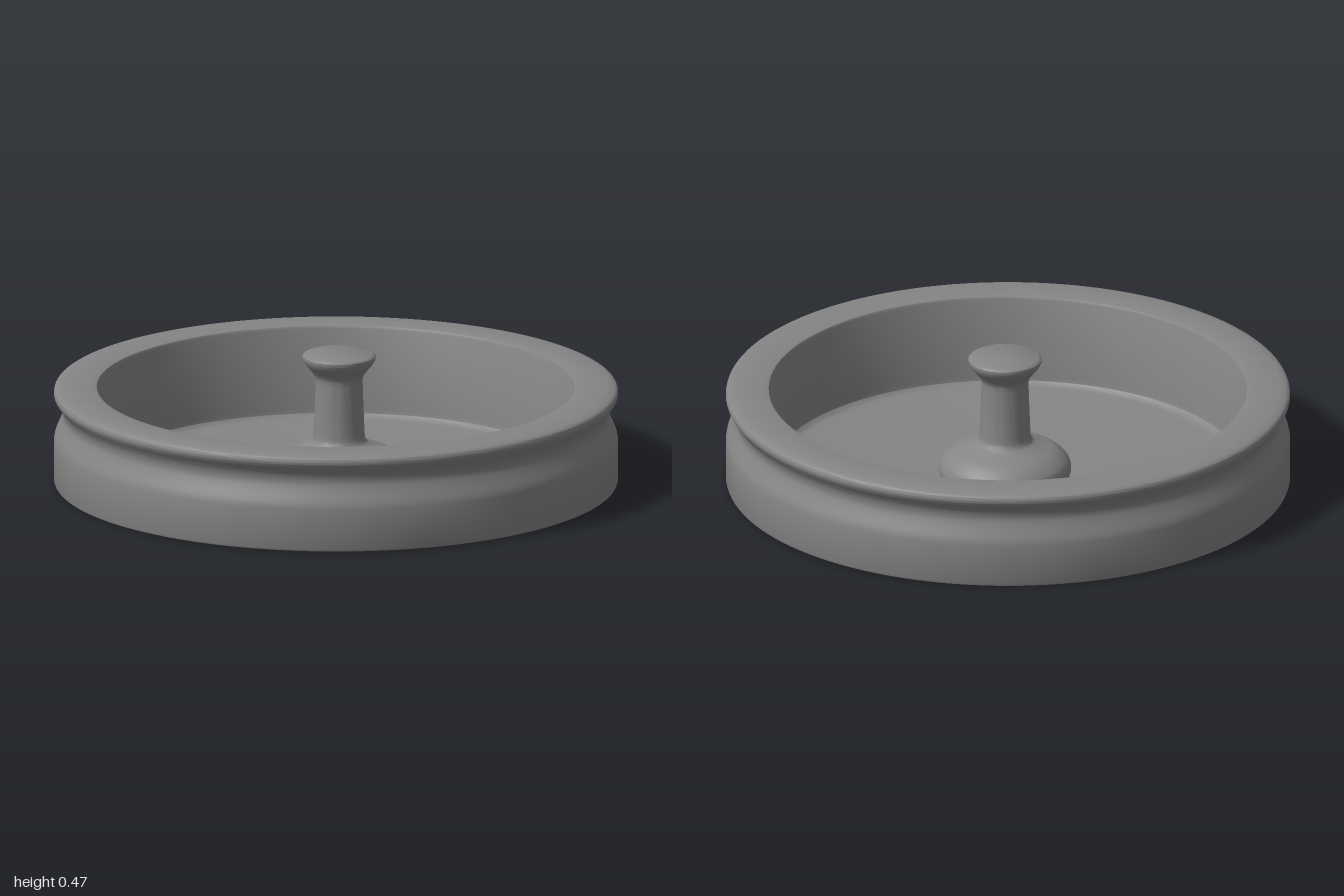
import * as THREE from 'three';
import { toCreasedNormals } from 'three/addons/utils/BufferGeometryUtils.js';

const material = new THREE.MeshStandardMaterial({ color: 0x858585 });
const toPoints = (pairs) => pairs.map(([r, y]) => new THREE.Vector2(r, y));
const smooth = (pairs, n) => new THREE.SplineCurve(toPoints(pairs)).getPoints(n);

// Turn a profile running from the bottom axis point up to the top one
function turned(name, profile, segments) {
  const geometry = toCreasedNormals(new THREE.LatheGeometry(profile, segments), 0.6);
  const mesh = new THREE.Mesh(geometry, material);
  mesh.name = name;
  return mesh;
}

export function createModel() {
  const model = new THREE.Group();
  model.name = 'dishWithCentrePost';

  // Round dish: flat base, grooved outer wall, rounded rim, deep flat floor
  const dish = [
    ...toPoints([[0, 0], [0.985, 0], [0.997, 0.004], [1, 0.012]]),
    ...smooth([[1, 0.15], [0.995, 0.175], [0.976, 0.22], [0.968, 0.25],
      [0.975, 0.28], [0.994, 0.308], [1, 0.325], [0.993, 0.342], [0.965, 0.35]], 28),
    ...toPoints([[0.86, 0.35], [0.848, 0.347], [0.843, 0.338], [0.843, 0.045]]),
    ...smooth([[0.84, 0.03], [0.825, 0.018], [0.8, 0.014]], 5),
    new THREE.Vector2(0, 0.014),
  ];
  model.add(turned('dish', dish, 128));

  // Centre post: domed foot, slim stem, flared flat-topped knob
  const post = [
    ...toPoints([[0, 0.01], [0.222, 0.01]]),
    ...smooth([[0.23, 0.022], [0.235, 0.045], [0.224, 0.078], [0.185, 0.112], [0.13, 0.134],
      [0.097, 0.152], [0.09, 0.185]], 24),
    ...smooth([[0.087, 0.26], [0.084, 0.35], [0.086, 0.385], [0.102, 0.41],
      [0.122, 0.435], [0.13, 0.454], [0.128, 0.463], [0.118, 0.468]], 28),
    new THREE.Vector2(0, 0.47),
  ];
  const centrePost = turned('centrePost', post, 64);
  centrePost.position.x = 0.011;
  model.add(centrePost);

  return model;
}
